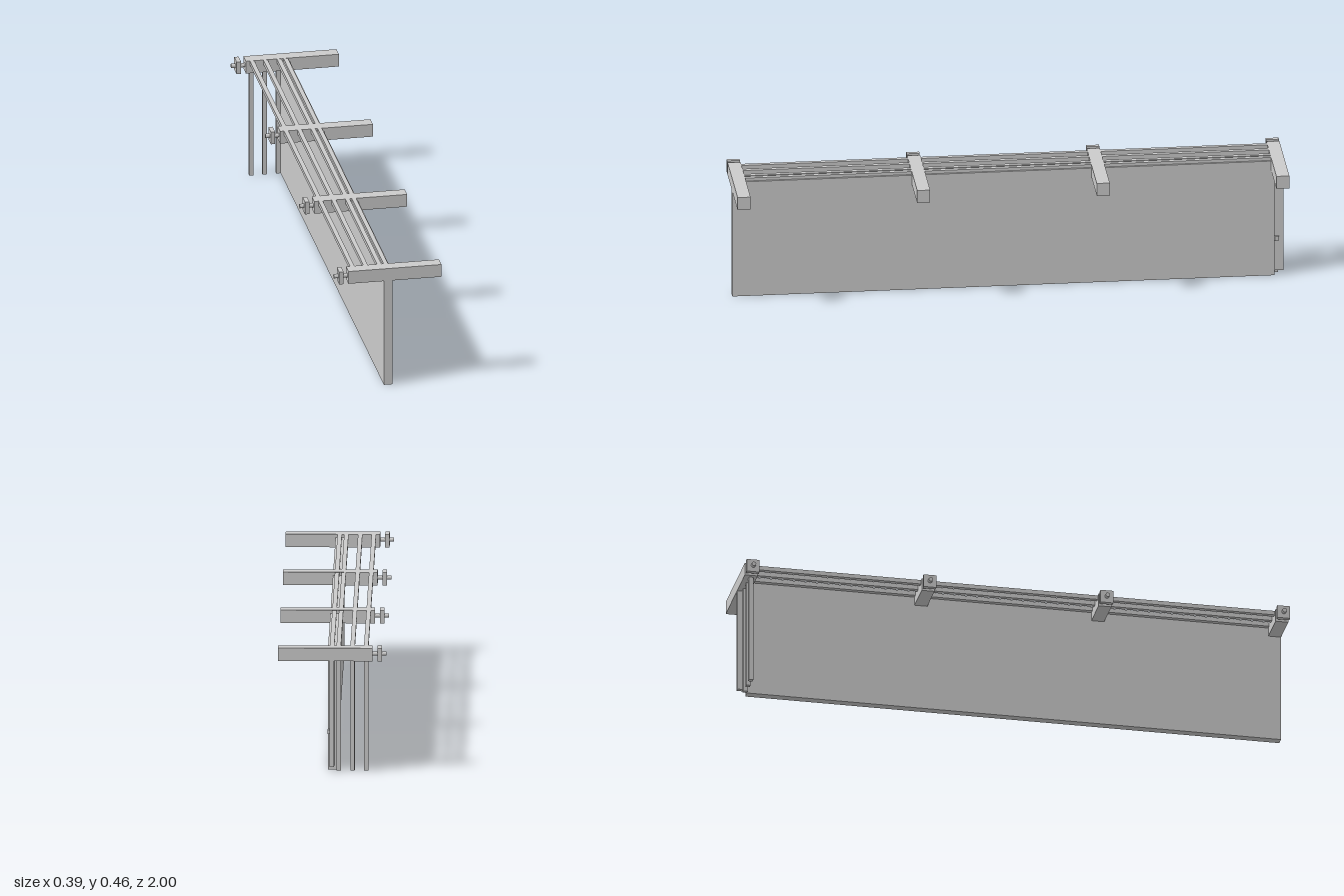
import * as THREE from 'three';

const material = new THREE.MeshStandardMaterial({ color: 0xcccccc, flatShading: true });

// Box given by its lower and upper limits on each axis
function box(name, [x0, x1], [y0, y1], [z0, z1]) {
  const mesh = new THREE.Mesh(new THREE.BoxGeometry(x1 - x0, y1 - y0, z1 - z0), material);
  mesh.name = name;
  mesh.position.set((x0 + x1) / 2, (y0 + y1) / 2, (z0 + z1) / 2);
  return mesh;
}

// Cross beam with its end plate and threaded stem
function createBeam(z) {
  const beam = new THREE.Group();
  beam.name = 'crossBeam';
  beam.add(box('beam', [-0.146, 0.195], [0.407, 0.455], [-0.0235, 0.0235]));
  beam.add(box('endPlate', [-0.18, -0.164], [0.407, 0.455], [-0.0235, 0.0235]));
  const stem = new THREE.Mesh(new THREE.CylinderGeometry(0.008, 0.008, 0.05, 12), material);
  stem.name = 'stem';
  stem.rotation.z = Math.PI / 2;
  stem.position.set(-0.171, 0.431, 0);
  beam.add(stem);
  beam.position.z = z;
  return beam;
}

export function createModel() {
  const model = new THREE.Group();
  model.name = 'panelRack';

  // Large hanging panel
  model.add(box('panel', [-0.016, 0.015], [0, 0.443], [-0.965, 1]));

  // Four cross beams along the length
  for (const z of [-0.9765, -0.3255, 0.3255, 0.9765]) model.add(createBeam(z));

  // Long rails and the bars hanging from them at the back end
  const r = 0.008;
  for (const x of [-0.123, -0.074, -0.024, 0]) {
    model.add(box('rail', [x - r, x + r], [0.439, 0.4545], [-0.98, 0.98]));
    if (x < 0) model.add(box('hangingBar', [x - r, x + r], [0, 0.42], [-0.982, -0.966]));
  }

  // Edge strip beside the panel, with a small knob
  model.add(box('edgeStrip', [-r, r], [0.016, 0.42], [-0.999, -0.965]));
  model.add(box('knob', [0, 0.017], [0.134, 0.15], [-0.982, -0.966]));

  return model;
}
